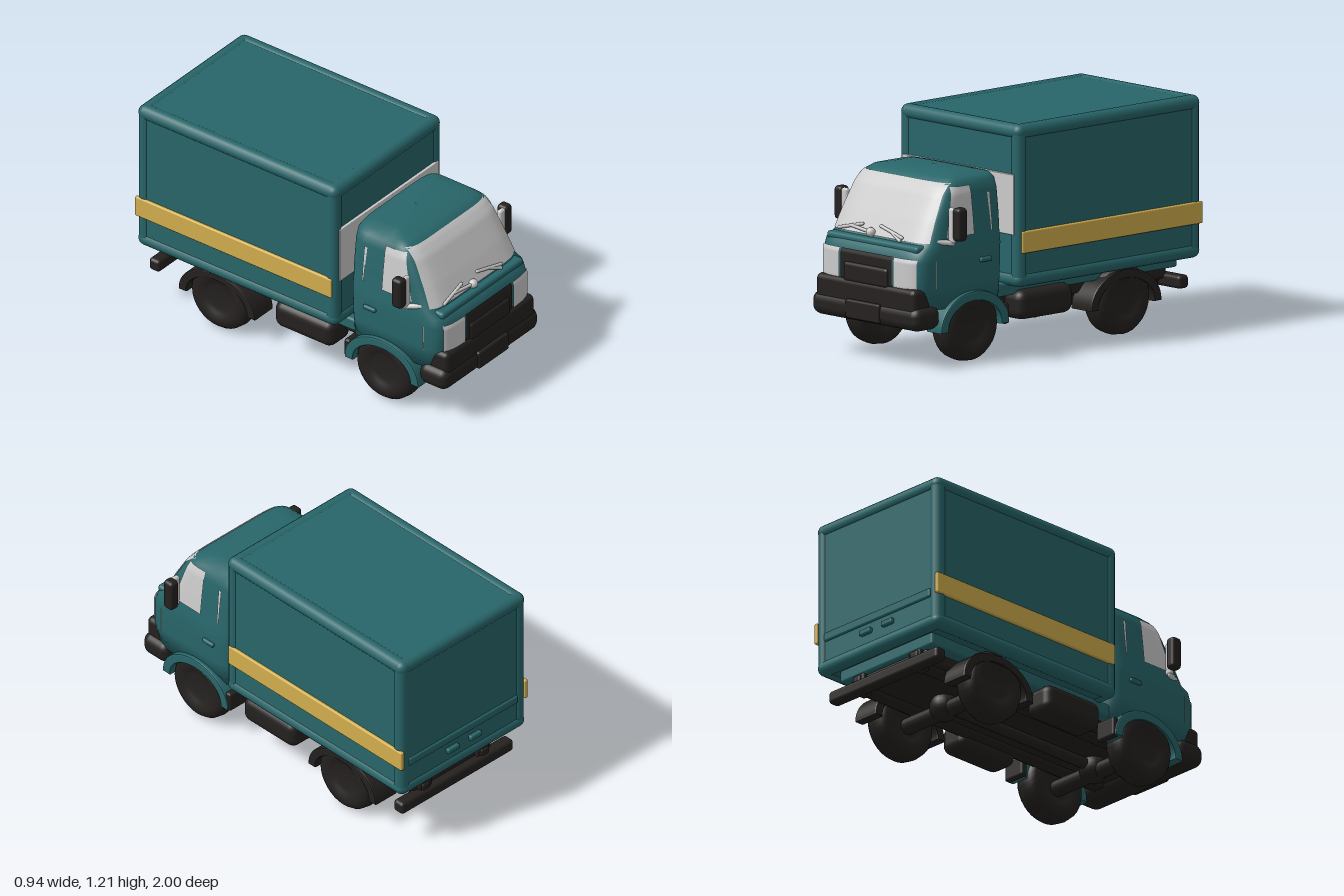
import * as THREE from 'three';
import { RoundedBoxGeometry } from 'three/addons/geometries/RoundedBoxGeometry.js';

const mat = (color, side = THREE.FrontSide) =>
  new THREE.MeshStandardMaterial({ color, side });
const teal = mat(0x28666a), dark = mat(0x24211f), yellow = mat(0xd2ae4e), white = mat(0xdededa);
const whiteThin = mat(0xdededa, THREE.DoubleSide), darkThin = mat(0x24211f, THREE.DoubleSide);

// Cab plan sections: y, front z, back z, half width
const CAB = [
  [0.30, 0.92, 0.33, 0.38], [0.42, 0.955, 0.325, 0.39], [0.55, 0.955, 0.32, 0.39],
  [0.60, 0.935, 0.32, 0.39], [0.635, 0.885, 0.32, 0.38], [0.75, 0.825, 0.32, 0.368],
  [0.88, 0.75, 0.325, 0.352], [0.93, 0.705, 0.33, 0.335], [0.955, 0.66, 0.345, 0.305],
  [0.966, 0.58, 0.40, 0.23],
];
const POWER = 7;

function cabSection(y) {
  let i = 0;
  while (i < CAB.length - 2 && y > CAB[i + 1][0]) i++;
  const a = CAB[i], b = CAB[i + 1], t = (y - a[0]) / (b[0] - a[0]);
  const [front, back, w] = [1, 2, 3].map((k) => a[k] + (b[k] - a[k]) * t);
  return { zc: (front + back) / 2, d: (front - back) / 2, w };
}
const bulge = (r) => Math.pow(Math.max(0, 1 - Math.pow(Math.min(1, Math.abs(r)), POWER)), 1 / POWER);
const cabFrontZ = (x, y) => { const s = cabSection(y); return s.zc + s.d * bulge(x / s.w); };
const cabSideX = (z, y) => { const s = cabSection(y); return s.w * bulge((z - s.zc) / s.d); };

// Rounded rectangular sections joined into a closed shell
function cabGeometry() {
  const n = 80, pos = [], idx = [];
  const first = CAB[0], last = CAB[CAB.length - 1];
  const rows = [[first[0], 0.63, 0.62, 0.005], ...CAB, [last[0] + 0.002, 0.49, 0.48, 0.005]];
  const sp = (v) => Math.sign(v) * Math.pow(Math.abs(v), 2 / POWER);
  rows.forEach(([y, front, back, w], k) => {
    for (let i = 0; i < n; i++) {
      const a = (i / n) * Math.PI * 2;
      pos.push(w * sp(Math.cos(a)), y, (front + back) / 2 + ((front - back) / 2) * sp(Math.sin(a)));
      if (k === rows.length - 1) continue;
      const j = (i + 1) % n, p = k * n;
      idx.push(p + i, p + n + i, p + j, p + j, p + n + i, p + n + j);
    }
  });
  const g = new THREE.BufferGeometry();
  g.setAttribute('position', new THREE.Float32BufferAttribute(pos, 3));
  g.setIndex(idx);
  g.computeVertexNormals();
  return g;
}

// Panel laid on the cab skin: [start, end] across at the bottom and at the top
function cabPanel(y0, y1, low, high, side = 0, lift = 0.007) {
  const g = new THREE.PlaneGeometry(1, 1, 20, 24), p = g.attributes.position;
  for (let i = 0; i < p.count; i++) {
    const u = p.getX(i) + 0.5, v = p.getY(i) + 0.5, y = y0 + (y1 - y0) * v;
    const a = low[0] + (high[0] - low[0]) * v, b = low[1] + (high[1] - low[1]) * v;
    const c = a + (b - a) * u;
    if (side) p.setXYZ(i, side * (cabSideX(c, y) + lift), y, c);
    else p.setXYZ(i, c, y, cabFrontZ(c, y) + lift);
  }
  g.computeVertexNormals();
  return g;
}

export function createModel() {
  const root = new THREE.Group();
  const add = (name, geo, m, x = 0, y = 0, z = 0) => {
    const mesh = new THREE.Mesh(geo, m);
    mesh.name = name;
    mesh.position.set(x, y, z);
    root.add(mesh);
    return mesh;
  };
  // Rounded block given by its limits
  const block = (name, m, x0, x1, y0, y1, z0, z1, r = 0.01) =>
    add(name, new RoundedBoxGeometry(x1 - x0, y1 - y0, z1 - z0, 3, r), m,
      (x0 + x1) / 2, (y0 + y1) / 2, (z0 + z1) / 2);
  // Round bar between two points
  const bar = (name, m, a, b, r) => {
    const A = new THREE.Vector3(...a), B = new THREE.Vector3(...b), dir = B.clone().sub(A);
    const mesh = add(name, new THREE.CapsuleGeometry(r, dir.length(), 6, 14), m);
    mesh.position.copy(A).add(B).multiplyScalar(0.5);
    mesh.quaternion.setFromUnitVectors(new THREE.Vector3(0, 1, 0), dir.normalize());
  };

  // Cargo box with rounded frame along its edges
  block('cargoBox', teal, -0.438, 0.438, 0.365, 1.197, -0.978, 0.298, 0.03);
  const [X, Y0, Y1, Z0, Z1, R] = [0.41, 0.395, 1.165, -0.95, 0.27, 0.04];
  for (const y of [Y0, Y1]) {
    for (const s of [-1, 1]) bar('boxSideRail', teal, [s * X, y, Z0], [s * X, y, Z1], R);
    for (const z of [Z0, Z1]) bar('boxEndRail', teal, [-X, y, z], [X, y, z], R);
  }
  for (const s of [-1, 1]) {
    for (const z of [Z0, Z1]) bar('boxCornerPost', teal, [s * X, Y0, z], [s * X, Y1, z], R - 0.002);
    block('sideStripe', yellow, s * 0.442 - 0.012, s * 0.442 + 0.012, 0.535, 0.65, -0.992, 0.285, 0.008);
    block('rearLatch', teal, s * 0.08 - 0.04, s * 0.08 + 0.04, 0.47, 0.5, -1.0, -0.96, 0.008);
  }
  block('tailgateLedge', teal, -0.39, 0.39, 0.53, 0.58, -0.988, -0.95, 0.012);
  block('boxFrontPanel', white, -0.415, 0.415, 0.63, 0.945, 0.28, 0.312, 0.004);

  // Cab shell and front panels
  add('cab', cabGeometry(), teal);
  add('windshield', cabPanel(0.645, 0.935, [-0.355, 0.355], [-0.32, 0.32]), whiteThin);
  add('grille', cabPanel(0.41, 0.57, [-0.19, 0.19], [-0.19, 0.19]), darkThin);
  block('grilleBar', dark, -0.165, 0.165, 0.4, 0.505, 0.9, 0.975, 0.02);
  block('cowl', teal, -0.34, 0.34, 0.595, 0.635, 0.82, 0.925, 0.018);

  // Wipers
  const onGlass = (x, y) => [x, y, cabFrontZ(x, y) + 0.018];
  bar('wiperBlade', white, onGlass(-0.28, 0.655), onGlass(-0.12, 0.692), 0.009);
  bar('wiperArm', white, onGlass(-0.19, 0.675), onGlass(-0.045, 0.66), 0.009);
  bar('wiperBlade', white, onGlass(0.015, 0.697), onGlass(0.19, 0.66), 0.009);
  bar('wiperArm', white, onGlass(0.1, 0.68), onGlass(0.18, 0.645), 0.009);
  add('wiperHub', new THREE.SphereGeometry(0.025, 16, 12), white, ...onGlass(-0.042, 0.66));

  // Front bumper
  block('bumper', dark, -0.4, 0.4, 0.2, 0.325, 0.8, 0.985, 0.05);
  block('bumperTop', dark, -0.37, 0.37, 0.28, 0.418, 0.84, 0.975, 0.03);
  block('bumperPlate', dark, -0.125, 0.125, 0.215, 0.315, 0.9, 0.995, 0.012);

  // Wheel shapes
  const tyre = new THREE.LatheGeometry([
    [0, -0.05], [0.07, -0.05], [0.095, -0.062], [0.13, -0.075], [0.165, -0.068], [0.183, -0.045],
    [0.19, 0], [0.183, 0.045], [0.165, 0.068], [0.13, 0.075], [0.095, 0.062], [0.07, 0.05], [0, 0.05],
  ].map(([r, h]) => new THREE.Vector2(r, h)), 32).rotateZ(Math.PI / 2);
  const arch = (ro, ho, ri, hi, width) => {
    const s = new THREE.Shape();
    s.absellipse(0, 0, ro, ho, 0, Math.PI, false);
    s.absellipse(0, 0, ri, hi, Math.PI, 0, true);
    return new THREE.ExtrudeGeometry(s, {
      depth: width, bevelSize: 0.008, bevelThickness: 0.008, bevelSegments: 2, curveSegments: 28,
    }).translate(0, 0, -width / 2).rotateY(Math.PI / 2);
  };
  const frontArch = arch(0.232, 0.18, 0.195, 0.145, 0.1);
  const rearArch = arch(0.24, 0.175, 0.205, 0.145, 0.14);

  for (const s of [-1, 1]) {
    const sided = (name, m, x0, x1, ...rest) =>
      block(name, m, Math.min(s * x0, s * x1), Math.max(s * x0, s * x1), ...rest);
    // Lamps, windows and door details
    const lamp = [Math.min(s * 0.2, s * 0.35), Math.max(s * 0.2, s * 0.35)];
    add('headlight', cabPanel(0.415, 0.57, lamp, lamp, 0, 0.009), whiteThin);
    add('sideWindow', cabPanel(0.665, 0.918, [0.56, 0.755], [0.56, 0.685], s), whiteThin);
    add('rearQuarterWindow', cabPanel(0.67, 0.87, [0.43, 0.44], [0.43, 0.45], s), whiteThin);
    add('sideMarker', cabPanel(0.41, 0.56, [0.835, 0.842], [0.835, 0.842], s), whiteThin);
    sided('doorHandle', teal, 0.38, 0.405, 0.515, 0.54, 0.45, 0.53, 0.01);
    // Mirror with pale mount
    sided('mirror', dark, 0.412, 0.47, 0.655, 0.83, 0.685, 0.75, 0.02);
    sided('mirrorMount', white, 0.375, 0.42, 0.64, 0.825, 0.715, 0.745, 0.014);
    bar('mirrorArm', white, [s * 0.36, 0.65, 0.8], [s * 0.40, 0.64, 0.73], 0.014);
    // Wheels and guards
    add('frontWheel', tyre, dark, s * 0.325, 0.19, 0.575);
    add('rearWheel', tyre, dark, s * 0.325, 0.19, -0.5);
    add('frontFender', frontArch, teal, s * 0.35, 0.185, 0.575);
    add('rearMudguard', rearArch, dark, s * 0.325, 0.165, -0.5);
    sided('frontMudFlap', dark, 0.27, 0.4, 0.17, 0.28, 0.325, 0.365, 0.015);
    // Tanks and chassis rails
    sided('sideTank', dark, 0.22, 0.4, 0.17, 0.325, -0.14, 0.245, 0.05);
    sided('chassisRail', dark, 0.16, 0.25, 0.22, 0.31, -0.92, 0.84, 0.015);
    sided('rearBumperBracket', dark, 0.18, 0.24, 0.2, 0.3, -0.93, -0.84, 0.015);
  }

  // Underbody
  block('subFrame', teal, -0.34, 0.34, 0.3, 0.372, -0.92, 0.36, 0.015);
  block('chassisFloor', dark, -0.28, 0.28, 0.235, 0.305, -0.9, 0.84, 0.02);
  block('rearBumper', dark, -0.4, 0.4, 0.195, 0.265, -0.945, -0.875, 0.02);
  for (const z of [0.575, -0.5]) {
    bar('axle', dark, [-0.26, 0.17, z], [0.26, 0.17, z], 0.045);
    add('differential', new THREE.SphereGeometry(0.078, 20, 14), dark, 0, 0.19, z);
  }
  bar('driveShaft', dark, [0, 0.2, -0.45], [0, 0.2, 0.55], 0.03);
  return root;
}
